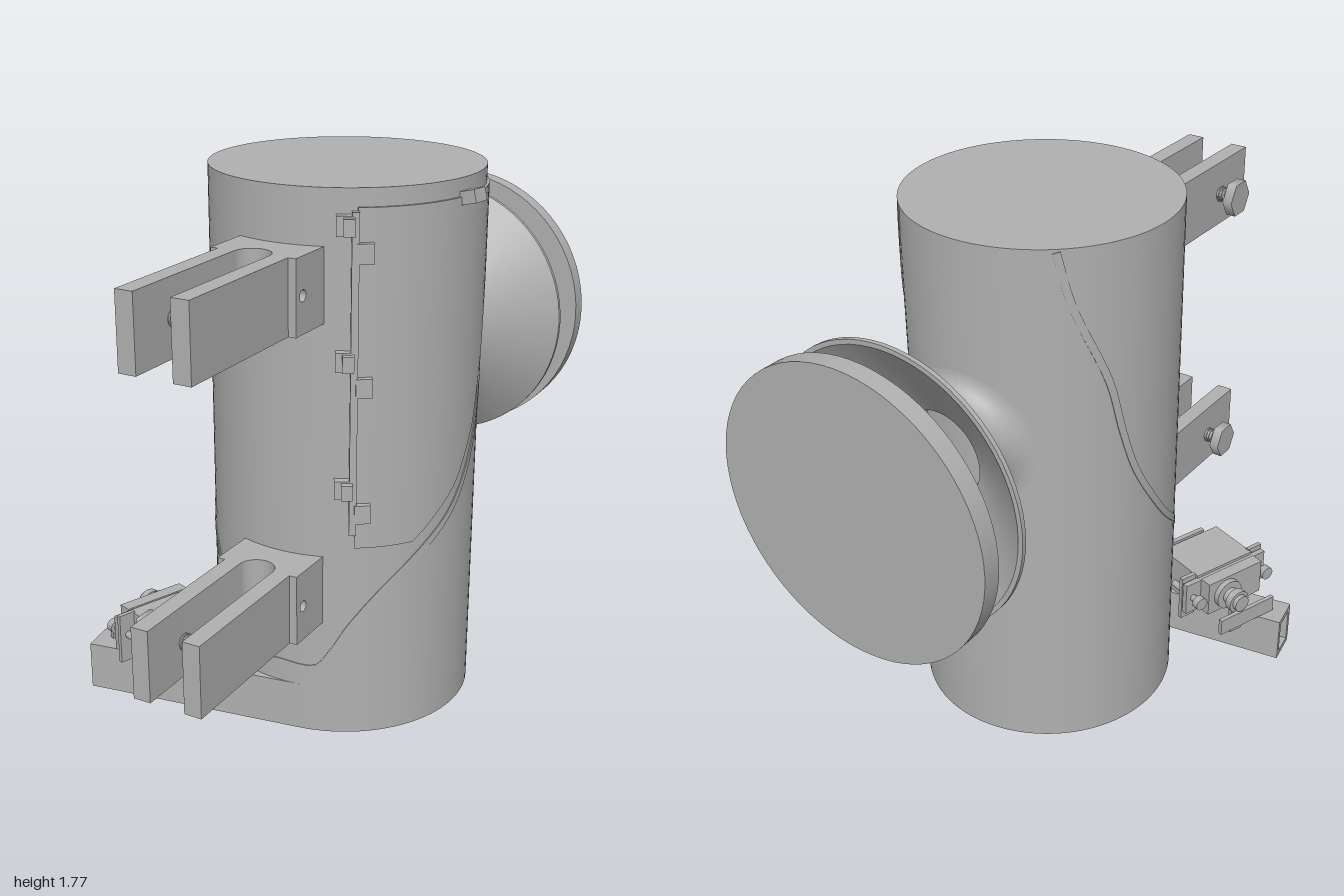
import * as THREE from 'three';
import { toCreasedNormals } from 'three/addons/utils/BufferGeometryUtils.js';

const CX = 0.104, CZ = -0.066, R = 0.431, H = 1.775;

export function createModel() {
  const model = new THREE.Group();
  const grey = new THREE.MeshStandardMaterial({ color: 0xb0b0b0 });
  grey.name = 'plain grey';

  const add = (name, geo, parent = model) => {
    const m = new THREE.Mesh(geo, grey);
    m.name = name;
    parent.add(m);
    return m;
  };
  const group = (name, x = 0, y = 0, z = 0, turn = 0) => {
    const g = new THREE.Group();
    g.name = name;
    g.position.set(x, y, z);
    g.rotation.y = turn;
    model.add(g);
    return g;
  };
  // box given by its minimum and maximum corners
  const box = (name, x0, x1, y0, y1, z0, z1, parent) => add(name,
    new THREE.BoxGeometry(x1 - x0, y1 - y0, z1 - z0)
      .translate((x0 + x1) / 2, (y0 + y1) / 2, (z0 + z1) / 2), parent);
  // cylinder along x
  const rod = (name, r, x0, x1, y, z, parent, sides = 24) => add(name,
    new THREE.CylinderGeometry(r, r, x1 - x0, sides).rotateZ(Math.PI / 2)
      .translate((x0 + x1) / 2, y, z), parent);
  // box standing on the drum surface at angle a from the front
  const radialBox = (name, a, r, y, w, h, d) => {
    const m = add(name, new THREE.BoxGeometry(w, h, d));
    m.position.set(CX + r * Math.sin(a), y, CZ + r * Math.cos(a));
    m.rotation.y = a;
    return m;
  };
  // raised sheet wrapped on the drum; f(u, v) gives [angle, height]
  const wrapped = (name, f, nu, nv, r) => {
    const pos = [], idx = [], row = nv + 3;
    for (let i = -1; i <= nu + 1; i++) for (let j = -1; j <= nv + 1; j++) {
      const border = i < 0 || j < 0 || i > nu || j > nv;
      const [a, y] = f(THREE.MathUtils.clamp(i / nu, 0, 1), THREE.MathUtils.clamp(j / nv, 0, 1));
      const rr = border ? R - 0.004 : r;
      pos.push(CX + rr * Math.sin(a), y, CZ + rr * Math.cos(a));
    }
    for (let i = 0; i < nu + 2; i++) for (let j = 0; j < nv + 2; j++) {
      const p = i * row + j, q = p + row;
      idx.push(p, q, q + 1, p, q + 1, p + 1);
    }
    const g = new THREE.BufferGeometry();
    g.setAttribute('position', new THREE.Float32BufferAttribute(pos, 3));
    g.setIndex(idx);
    return add(name, toCreasedNormals(g, 0.5));
  };
  const angleAt = z => Math.acos((z - CZ) / R);

  // main drum
  add('drum', new THREE.CylinderGeometry(R, R, H, 96).translate(CX, H / 2, CZ));

  // seam rising from the low front round both sides to the top
  const half = [[0.29, 0.23], [0.4, 0.285], [0.535, 0.38], [0.766, 0.5], [1.03, 0.6], [1.4, 0.73], [1.64, 0.86],
    [1.83, 1.0], [1.95, 1.15], [2.06, 1.33], [2.33, 1.6], [2.43, 1.765]];
  const path = [...half.map(([a, y]) => [-a, y]).reverse(), [0, 0.23], ...half];
  const seam = new THREE.CatmullRomCurve3(path.map(([a, y]) => new THREE.Vector3(a * R, y, 0)));
  wrapped('seam', (u, v) => {
    const p = seam.getPointAt(u), t = seam.getTangentAt(u), o = (v - 0.5) * 0.024;
    return [(p.x - t.y * o) / R, Math.min(p.y + t.x * o, H - 0.002)];
  }, 120, 1, R + 0.003);

  // curved door
  const back = [[0.66, 0.17], [0.815, 0], [0.98, -0.1], [1.2, -0.17], [1.4, -0.21], [1.72, -0.295]];
  const backZ = y => {
    let k = 0;
    while (k < back.length - 2 && y > back[k + 1][0]) k++;
    const [y0, z0] = back[k], [y1, z1] = back[k + 1];
    return z0 + (z1 - z0) * (y - y0) / (y1 - y0);
  };
  wrapped('door', (u, v) => {
    const y = 0.66 + 1.06 * v;
    return [THREE.MathUtils.lerp(angleAt(0.3), angleAt(backZ(y)), u), y];
  }, 24, 30, R + 0.008);

  // door hinges and latch
  radialBox('hingeRod', 0.54, 0.446, 1.21, 0.022, 1.0, 0.022);
  for (const y of [1.67, 1.265, 0.86]) {
    radialBox('hingeFrameLeaf', 0.47, 0.443, y, 0.05, 0.06, 0.03);
    radialBox('hingeFrameKnuckle', 0.5, 0.465, y, 0.035, 0.05, 0.03);
    radialBox('hingeDoorLeaf', 0.605, 0.447, y - 0.08, 0.05, 0.06, 0.025);
  }
  radialBox('doorLatch', 1.42, 0.453, 1.72, 0.06, 0.04, 0.06).rotateX(-0.25);

  // funnel: flared root, neck and hollow cone
  const toBack = g => g.rotateX(-Math.PI / 2);
  const v2 = (x, y) => new THREE.Vector2(x, y);
  const rootPts = [];
  for (let i = 0; i <= 8; i++) {
    const t = i / 8 * Math.PI / 2;
    rootPts.push(v2(0.172 + 0.06 * (1 - Math.sin(t)), 0.06 * (1 - Math.cos(t))));
  }
  const root = toBack(new THREE.LatheGeometry(rootPts, 64));
  const rp = root.attributes.position;
  for (let i = 0; i < rp.count; i++)
    rp.setZ(i, rp.getZ(i) + CZ - Math.sqrt(R * R - rp.getX(i) ** 2));
  root.computeVertexNormals();
  add('funnelRoot', root.translate(CX, 1.12, 0));
  const funnel = [[0.172, 0.44], [0.172, 0.595], [0.46, 0.8], [0.46, 0.815], [0.445, 0.815], [0.15, 0.605], [0.15, 0.48]];
  add('funnel', toCreasedNormals(toBack(
    new THREE.LatheGeometry(funnel.map(p => v2(...p)), 72)), 0.4).translate(CX, 1.12, 0));
  add('funnelCover', new THREE.CylinderGeometry(0.473, 0.473, 0.062, 72).rotateX(Math.PI / 2).translate(CX, 1.12, -0.969));

  // forked brackets with side plates and a bolt
  for (const y of [0.395, 1.375]) {
    const g = group('forkBracket', 0, y, 0);
    const s = new THREE.Shape();
    s.moveTo(-0.01, 0.3);
    s.lineTo(0.22, 0.3).lineTo(0.22, 1).lineTo(0.163, 1).lineTo(0.163, 0.51);
    s.absarc(0.105, 0.51, 0.058, 0, Math.PI, true);
    s.lineTo(0.047, 1).lineTo(-0.01, 1).lineTo(-0.01, 0.3);
    add('fork', toCreasedNormals(new THREE.ExtrudeGeometry(s, { depth: 0.23, bevelEnabled: false, curveSegments: 20 })
      .rotateX(Math.PI / 2).translate(0, 0.23, 0), 0.5), g);
    const plate = new THREE.Shape([v2(0.28, 0), v2(0.505, 0), v2(0.505, 0.23), v2(0.28, 0.23)]);
    plate.holes.push(new THREE.Path().absarc(0.465, 0.115, 0.018, 0, Math.PI * 2, true));
    for (const x of [-0.01, 0.245])
      add('sidePlate', new THREE.ExtrudeGeometry(plate, { depth: 0.025, bevelEnabled: false })
        .rotateY(-Math.PI / 2).translate(x, 0, 0), g);
    rod('boltHead', 0.064, -0.092, -0.058, 0.115, 0.825, g, 6);
    rod('boltShank', 0.022, -0.06, 0.092, 0.115, 0.825, g);
    for (let i = 0; i < 8; i++) {
      const x = (i < 4 ? -0.053 : 0.052) + (i % 4) * 0.011;
      rod('boltThread', 0.027, x, x + 0.005, 0.115, 0.825, g, 16);
    }
  }

  // hollow chute leaving the drum along a tangent
  const chute = group('chute', CX, 0, CZ, 0.156);
  const rect = (x0, y0, x1, y1) => [v2(x0, y0), v2(x1, y0), v2(x1, y1), v2(x0, y1)];
  const tube = new THREE.Shape(rect(0.313, 0, R, 0.162));
  tube.holes.push(new THREE.Path(rect(0.332, 0.02, R - 0.019, 0.142).reverse()));
  add('chuteTube', new THREE.ExtrudeGeometry(tube, { depth: 0.756, bevelEnabled: false }).rotateY(-Math.PI / 2), chute);

  // actuator on the chute: body, ears, horn, lever and mount
  const act = group('actuator', -0.3, 0, 0.378, -0.349);
  box('actuatorBody', -0.07, 0.125, 0.19, 0.33, -0.125, 0.125, act);
  box('actuatorFront', -0.13, -0.085, 0.195, 0.325, -0.12, 0.12, act);
  box('actuatorEars', -0.085, -0.065, 0.2, 0.32, -0.185, 0.175, act);
  for (const z of [-0.155, 0.15]) {
    rod('earScrew', 0.012, -0.12, 0.02, 0.26, z, act, 12);
    rod('earScrewHead', 0.024, -0.135, -0.11, 0.26, z, act, 12);
    box('earBracket', -0.06, -0.045, 0.165, 0.335, z - 0.03, z + 0.03, act);
  }
  rod('hornBase', 0.055, -0.15, -0.13, 0.26, -0.04, act);
  rod('hornShaft', 0.03, -0.215, -0.13, 0.26, -0.04, act);
  rod('hornCap', 0.042, -0.2, -0.175, 0.26, -0.04, act);
  box('lever', -0.19, -0.175, 0.13, 0.26, -0.065, -0.015, act);
  box('leverPlate', -0.215, -0.2, 0.165, 0.225, -0.13, 0.11, act);
  box('mountPlate', 0.13, 0.148, 0.162, 0.335, -0.07, 0.07, act);
  box('mountFoot', 0.13, 0.23, 0.162, 0.178, -0.07, 0.03, act);

  return model;
}
